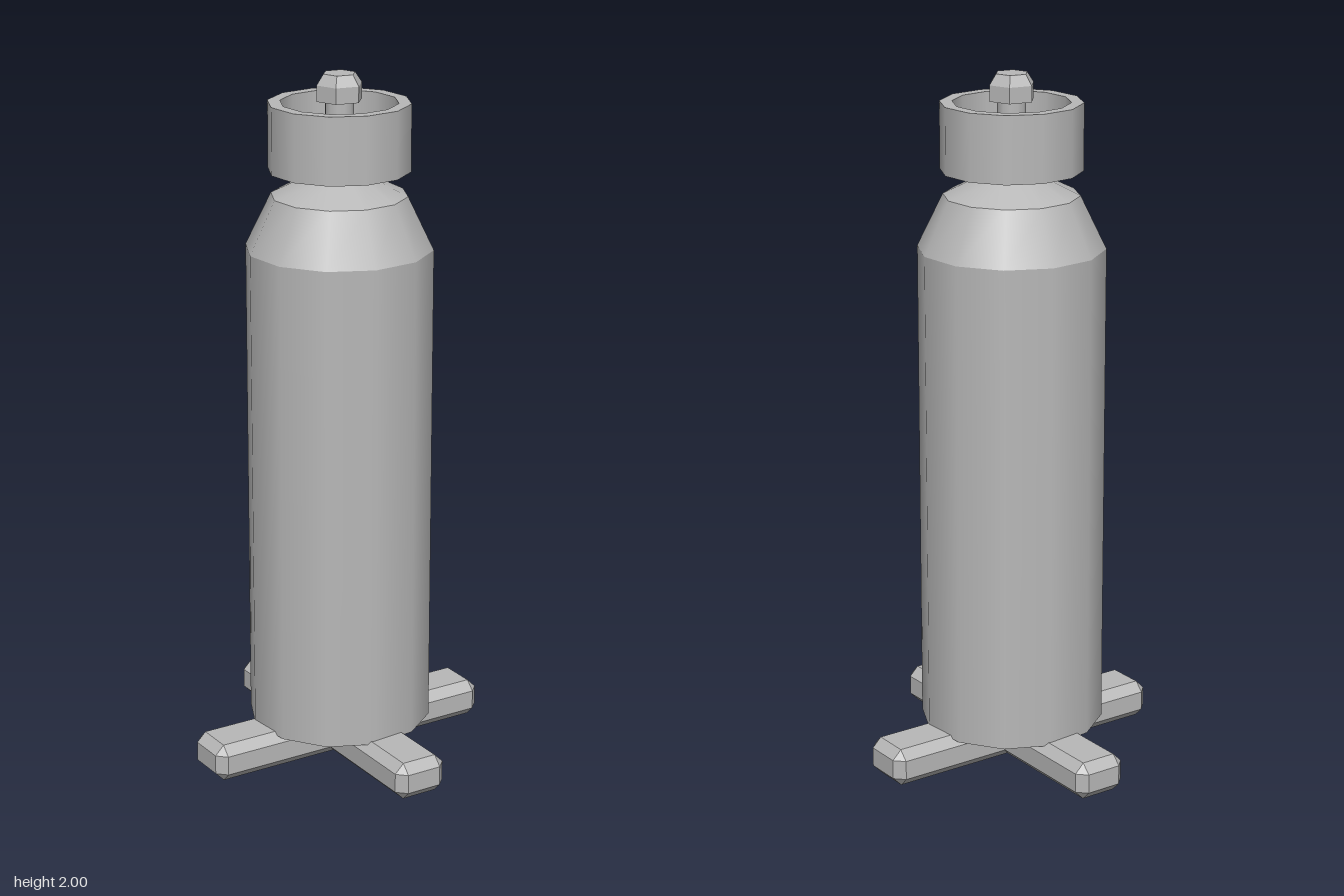
import * as THREE from 'three';
import { ConvexGeometry } from 'three/addons/geometries/ConvexGeometry.js';

const metal = new THREE.MeshStandardMaterial({ color: 0xb8b8b8 });
metal.name = 'grey metal';

export function createModel() {
  const model = new THREE.Group();
  model.name = 'gasCylinder';

  const add = (name, geometry, y = 0) => {
    const mesh = new THREE.Mesh(geometry, metal);
    mesh.name = name;
    mesh.position.y = y;
    model.add(mesh);
    return mesh;
  };

  // Upright round part from y0 to y1, smooth sides and sharp rims
  const round = (name, r0, r1, y0, y1, sides = 12, open = false) =>
    add(name, new THREE.CylinderGeometry(r1, r0, y1 - y0, sides, 1, open), (y0 + y1) / 2);

  // Box with every edge bevelled by c, given half sizes
  const bevelBox = (hx, hy, hz, c) => {
    const points = [];
    for (const sx of [-1, 1]) for (const sy of [-1, 1]) for (const sz of [-1, 1]) {
      points.push(
        new THREE.Vector3(sx * hx, sy * (hy - c), sz * (hz - c)),
        new THREE.Vector3(sx * (hx - c), sy * hy, sz * (hz - c)),
        new THREE.Vector3(sx * (hx - c), sy * (hy - c), sz * hz));
    }
    return new ConvexGeometry(points);
  };

  // Crossed bars of the stand, turned 20 degrees
  for (let i = 0; i < 2; i++) {
    const bar = add('standBar', bevelBox(0.451, 0.055, 0.08, 0.027), 0.055);
    bar.rotation.y = -Math.PI / 9 + i * Math.PI / 2;
  }

  // Tank
  round('tankBody', 0.265, 0.265, 0.1, 1.51);
  round('tankShoulder', 0.265, 0.192, 1.51, 1.66, 12, true);
  round('tankTop', 0.192, 0.09, 1.66, 1.71, 12, true);
  round('neck', 0.09, 0.08, 1.71, 1.73);

  // Open guard ring around the valve
  const wall = [[0.165, 1.73], [0.2, 1.73], [0.2, 1.92], [0.165, 1.92], [0.165, 1.73]];
  for (let i = 0; i < 4; i++) {
    const edge = wall.slice(i, i + 2).map(([r, y]) => new THREE.Vector2(r, y));
    add('guardRing', new THREE.LatheGeometry(edge, 12));
  }

  // Valve block, side outlet, stem and hexagonal knob
  add('valveBlock', bevelBox(0.065, 0.075, 0.067, 0.02), 1.795);
  const outlet = add('valveOutlet', new THREE.CylinderGeometry(0.037, 0.037, 0.165, 12), 1.82);
  outlet.rotation.z = Math.PI / 2;
  outlet.position.x = -0.0825;
  round('valveStem', 0.04, 0.04, 1.85, 1.93);
  const hex = (r0, r1, y0, y1) => {
    const part = round('valveKnob', r0, r1, y0, y1, 6);
    part.geometry = part.geometry.toNonIndexed();
    part.geometry.computeVertexNormals();
  };
  hex(0.067, 0.067, 1.925, 1.97);
  hex(0.067, 0.047, 1.97, 2.0);

  return model;
}
